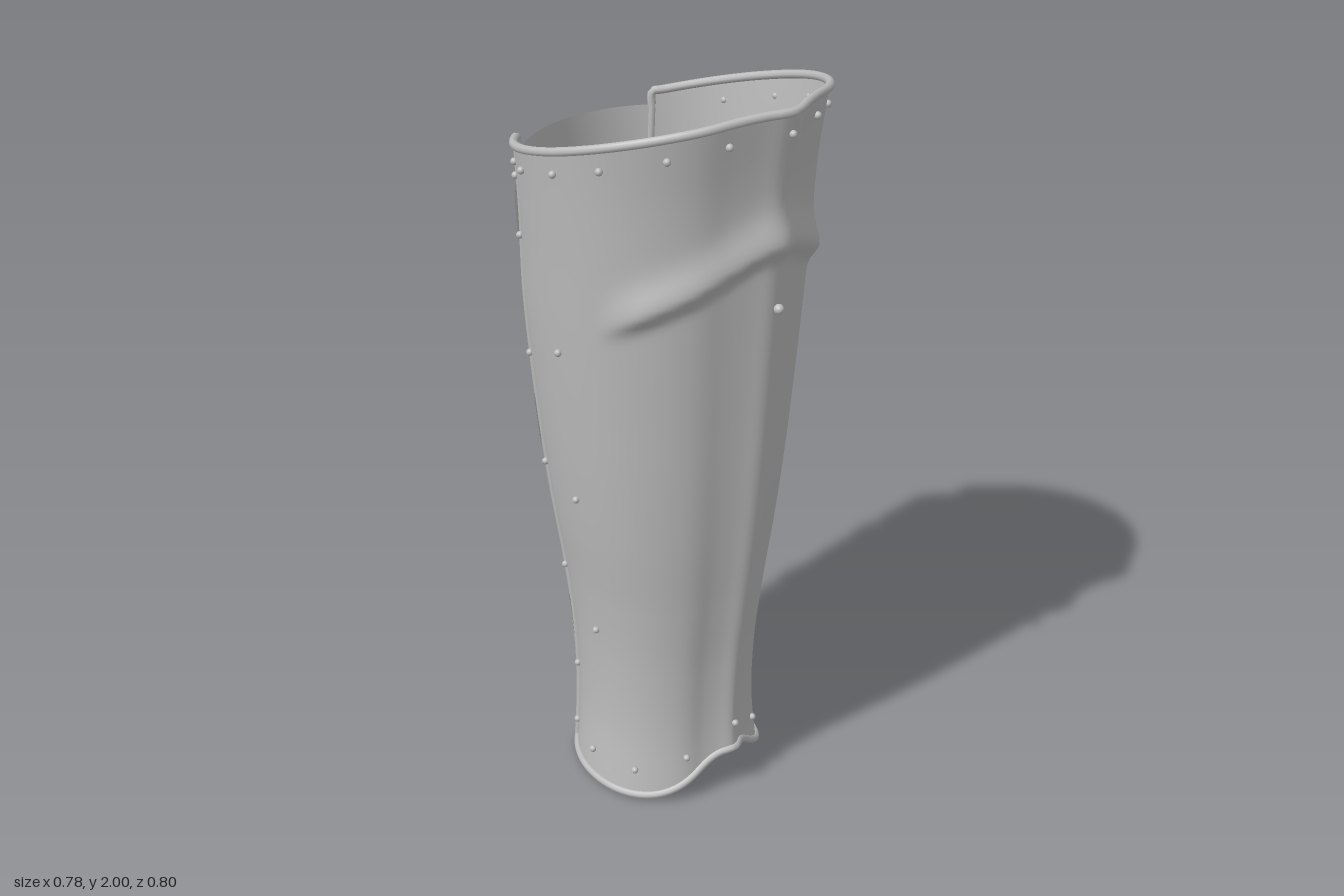
import * as THREE from 'three';

const steel = new THREE.MeshStandardMaterial({ color: 0xbcbcbc, side: THREE.DoubleSide });
steel.name = 'steel grey';

// Half width, front depth and back depth of the leg at heights 0, 0.2 ... 2.0
const heights = [0, 0.2, 0.4, 0.6, 0.8, 1, 1.2, 1.4, 1.6, 1.8, 2];
const sections = [
  0.250, 0.240, 0.272, 0.230, 0.225, 0.270, 0.232, 0.232, 0.280, 0.250, 0.255, 0.305,
  0.278, 0.280, 0.335, 0.302, 0.300, 0.358, 0.322, 0.315, 0.375, 0.340, 0.328, 0.383,
  0.355, 0.340, 0.374, 0.372, 0.350, 0.372, 0.392, 0.380, 0.385,
];
const profile = new THREE.CubicInterpolant(heights, sections, 3);
const OPEN = 2.47; // angle from the front to each back edge

const topEdge = (a) => 1.89 + 0.1 * Math.cos(a);
const bottomEdge = (a) => 0.012 + 0.122 * Math.exp(-((a / 0.6) ** 2));

// Point on the leg surface; a = 0 is the front, positive towards +x
function surface(a, y, offset = 0) {
  const [rx, front, back] = profile.evaluate(y);
  const s = Math.sin(a), c = Math.cos(a);
  const b = Math.abs(a > Math.PI ? a - 2 * Math.PI : a);
  // shin keel with shallow hollows beside it
  let bump = 0.02 * Math.exp(-((b / 0.13) ** 2)) - 0.007 * Math.exp(-(((b - 0.36) / 0.16) ** 2));
  // slanting fold below the knee
  const d = y - (1.67 - 0.165 * Math.max(b, 0.1));
  const fade = 1 - THREE.MathUtils.smoothstep(b, 0.9, 1.35);
  bump += 0.026 * fade * Math.exp(-((d / (d > 0 ? 0.065 : 0.03)) ** 2));
  const out = bump + offset;
  return new THREE.Vector3((rx + out) * s, y, ((c > 0 ? front : back) + out) * c);
}

// Outward frame on the surface
function frame(a, y, offset) {
  const e = 0.01;
  const x = surface(a + e, y).sub(surface(a - e, y)).normalize();
  const up = surface(a, y + e).sub(surface(a, y - e));
  const n = new THREE.Vector3().crossVectors(x, up).normalize();
  const m = new THREE.Matrix4().makeBasis(x, new THREE.Vector3().crossVectors(n, x), n);
  return m.setPosition(surface(a, y).addScaledVector(n, offset));
}

// Curved sheet between two angles and two edge heights
function sheet(a0, a1, low, high, offset, nu, nv) {
  const g = new THREE.PlaneGeometry(1, 1, nu, nv);
  const p = g.attributes.position;
  for (let i = 0; i < p.count; i++) {
    const a = THREE.MathUtils.lerp(a0, a1, p.getX(i) + 0.5);
    const y = THREE.MathUtils.lerp(low(a), high(a), p.getY(i) + 0.5);
    p.setXYZ(i, ...surface(a, y, offset).toArray());
  }
  g.computeVertexNormals();
  return g;
}

function add(parent, name, geometry) {
  const mesh = new THREE.Mesh(geometry, steel);
  mesh.name = name;
  parent.add(mesh);
  return mesh;
}

// Rolled border round the whole shell
function rimGeometry() {
  const pts = [], n = 70, m = 40;
  const along = (k) => -OPEN + (2 * OPEN * k) / n;
  const edge = (a, t) => surface(a, THREE.MathUtils.lerp(bottomEdge(a), topEdge(a), t));
  for (let k = 0; k < n; k++) pts.push(edge(along(k), 0));
  for (let k = 0; k < m; k++) pts.push(edge(OPEN, k / m));
  for (let k = 0; k < n; k++) pts.push(edge(along(n - k), 1));
  for (let k = 0; k < m; k++) pts.push(edge(-OPEN, 1 - k / m));
  return new THREE.TubeGeometry(new THREE.CatmullRomCurve3(pts, true), 500, 0.011, 8, true);
}

// Rectangular buckle frame with a centre bar
function buckleGeometry() {
  const rect = (shape, x0, y0, x1, y1) =>
    shape.moveTo(x0, y0).lineTo(x1, y0).lineTo(x1, y1).lineTo(x0, y1).closePath();
  const outer = rect(new THREE.Shape(), -0.05, -0.062, 0.05, 0.062);
  outer.holes.push(rect(new THREE.Path(), -0.036, -0.045, -0.006, 0.045));
  outer.holes.push(rect(new THREE.Path(), 0.006, -0.045, 0.036, 0.045));
  return new THREE.ExtrudeGeometry(outer, { depth: 0.016, bevelEnabled: false }).translate(0, 0, -0.008);
}

export function createModel() {
  const model = new THREE.Group();
  model.name = 'legArmour';

  add(model, 'shell', sheet(-OPEN, OPEN, bottomEdge, topEdge, 0, 128, 120));
  add(model, 'rolledRim', rimGeometry());
  add(model, 'calfPlate', sheet(2.2, 2 * Math.PI - 2.2, () => 0.125, () => 1.78, -0.006, 40, 60));

  // Straps across the back, buckled on the left edge
  const buckle = buckleGeometry();
  [1.62, 1.03, 0.415].forEach((y) => {
    const strap = new THREE.Group();
    strap.name = 'strap';
    model.add(strap);
    const low = () => y - 0.068, high = () => y + 0.068;
    add(strap, 'strapBand', sheet(2.3, 2 * Math.PI - 2.27, low, high, 0.01, 40, 4));
    add(strap, 'strapEnd', new THREE.BoxGeometry(0.1, 0.07, 0.014)).applyMatrix4(frame(2.58, y, 0.02));
    add(strap, 'buckle', buckle).applyMatrix4(frame(2.55, y, 0.04));
    add(strap, 'bucklePin', new THREE.BoxGeometry(0.075, 0.01, 0.01)).applyMatrix4(frame(2.55, y, 0.05));
  });

  // Rivets, mirrored left and right
  const rivets = new THREE.Group();
  rivets.name = 'rivets';
  model.add(rivets);
  const head = new THREE.SphereGeometry(0.0095, 10, 8);
  const rivet = (a, y) => {
    for (const side of a === 0 ? [1] : [1, -1])
      add(rivets, 'rivet', head).position.copy(surface(side * a, y, 0.005));
  };
  [0, 0.4, 0.78, 1.2, 1.57, 1.97, 2.35].forEach((a) => rivet(a, topEdge(a) - 0.055));
  [0.58, 1.18, 1.8, 2.35].forEach((a) => rivet(a, bottomEdge(a) + 0.078));
  [1.35, 0.92, 0.5].forEach((y) => rivet(1.69, y));
  [1.73, 1.57, 1.24, 0.92, 0.6, 0.28].forEach((y) => rivet(2.34, y));
  rivet(0, 0.215);
  add(rivets, 'shinStud', new THREE.SphereGeometry(0.013, 12, 10)).position.copy(surface(0, 1.49, 0.012));

  return model;
}
